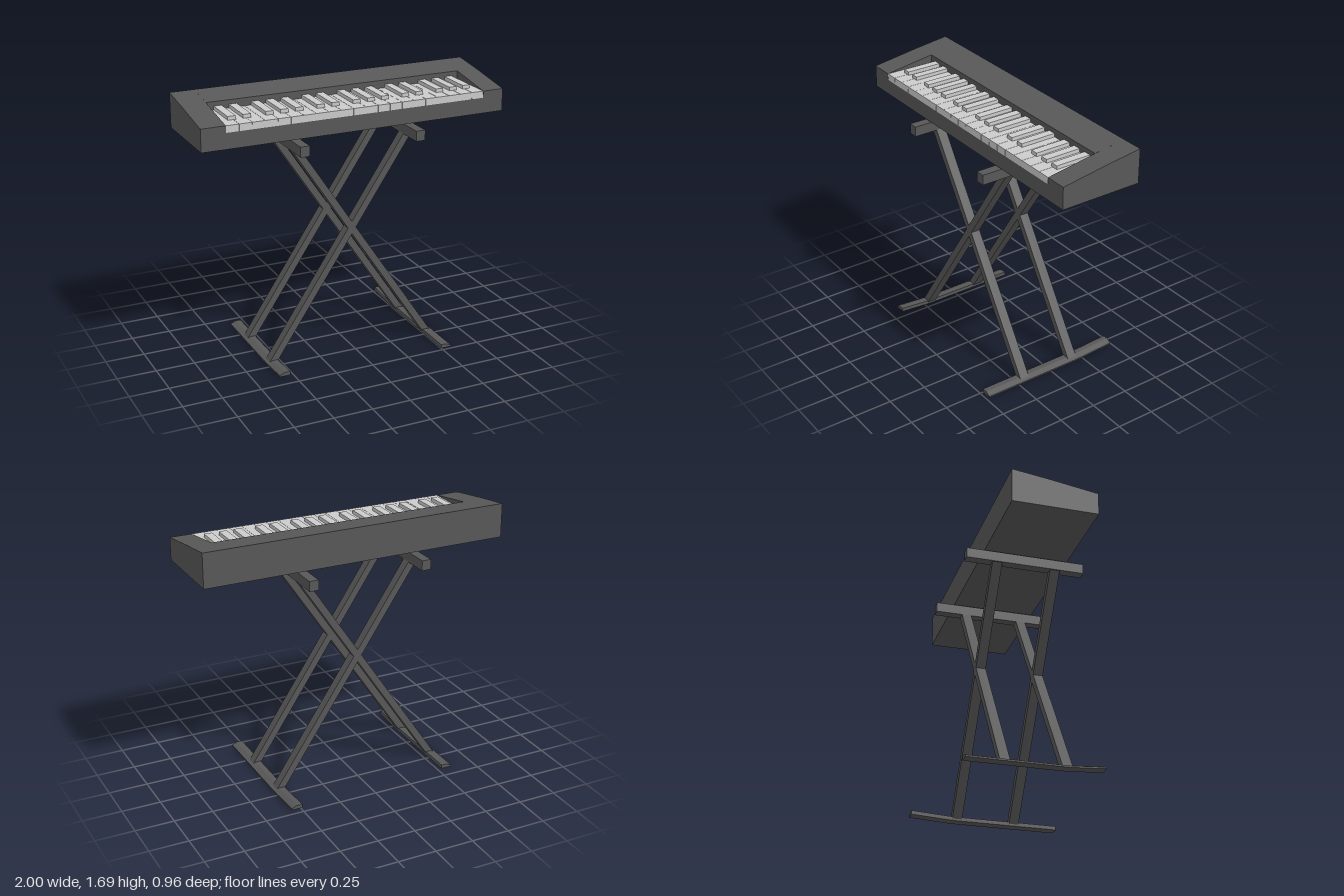
import * as THREE from 'three';

const dark = new THREE.MeshStandardMaterial({ color: 0x585858, flatShading: true });
const pale = new THREE.MeshStandardMaterial({ color: 0xcccccc, flatShading: true });

function add(parent, name, geometry, material) {
  const mesh = new THREE.Mesh(geometry, material);
  mesh.name = name;
  parent.add(mesh);
  return mesh;
}

// Box given by its lower and upper limits on each axis
function box(x0, x1, y0, y1, z0, z1) {
  return new THREE.BoxGeometry(x1 - x0, y1 - y0, z1 - z0)
    .translate((x0 + x1) / 2, (y0 + y1) / 2, (z0 + z1) / 2);
}

// Outline in x and y, extruded from z0 to z1
function prism(points, z0, z1, steps = 1) {
  const shape = new THREE.Shape(points.map(([x, y]) => new THREE.Vector2(x, y)));
  return new THREE.ExtrudeGeometry(shape, { depth: z1 - z0, steps, bevelEnabled: false })
    .translate(0, 0, z0);
}

// Outline in z and y, extruded from x0 to x1
function sideProfile(points, x0, x1) {
  return prism(points.map(([z, y]) => [-z, y]), x0, x1).rotateY(Math.PI / 2);
}

// Foot bar with a sloped outer edge and one bent-up end (end = +1 front, -1 back)
function foot(xIn, xOut, z0, z1, end) {
  const mid = (xIn + xOut) / 2;
  const section = [[xIn, 0], [xIn, 0.025], [mid, 0.025], [xOut, 0.01], [xOut, 0]];
  const geometry = prism(section, z0, z1, 16);
  const p = geometry.attributes.position;
  const tip = end > 0 ? z1 : -z0;
  for (let i = 0; i < p.count; i++) {
    const t = Math.max(0, (p.getZ(i) * end - 0.21) / (tip - 0.21));
    p.setY(i, p.getY(i) + 0.016 * t);
  }
  geometry.computeVertexNormals();
  return geometry;
}

export function createModel() {
  const model = new THREE.Group();
  model.name = 'keyboardOnStand';

  // Case: two end cheeks and a stepped middle that holds the keys
  const body = new THREE.Group();
  body.name = 'case';
  model.add(body);
  const keyL = -0.845, keyR = 0.86, bed = 1.57;
  const back = [[-0.03, 1.66], [-0.26, 1.69], [-0.26, 1.47]];
  const cheek = [[0.28, 1.47], [0.28, 1.613], ...back];
  add(body, 'rightCheek', sideProfile(cheek, -1, keyL), dark);
  add(body, 'leftCheek', sideProfile(cheek, keyR, 1), dark);
  add(body, 'keyBedAndPanel', sideProfile(
    [[0.28, 1.47], [0.28, bed], [-0.05, bed], [-0.05, 1.663], [-0.26, 1.69], [-0.26, 1.47]],
    keyL, keyR), dark);

  // Three octaves of keys
  const keys = new THREE.Group();
  keys.name = 'keys';
  model.add(keys);
  const pitch = (keyR - keyL) / 21;
  for (let i = 0; i < 21; i++) {
    const x = keyL + i * pitch;
    add(keys, 'naturalKey', box(x + 0.0008, x + pitch - 0.0008, bed, 1.613, -0.05, 0.28), pale);
  }
  const sharps = [0.072, 0.168, 0.31, 0.405, 0.5];
  for (let octave = 0; octave < 3; octave++) {
    for (const s of sharps) {
      const x = keyL + octave * pitch * 7 + s;
      add(keys, 'sharpKey', box(x - 0.025, x + 0.025, 1.605, 1.636, -0.048, 0.185), pale);
    }
  }

  // Stand: top rails, feet and two crossed pairs of legs
  const stand = new THREE.Group();
  stand.name = 'stand';
  model.add(stand);
  add(stand, 'rightTopRail', box(-0.425, -0.365, 1.39, 1.455, -0.38, 0.38), dark);
  add(stand, 'leftTopRail', box(0.332, 0.392, 1.39, 1.455, -0.385, 0.395), dark);
  // The right foot is wound back to front, so mirror the left-hand form
  const rightFoot = foot(0.53, 0.6, -0.415, 0.43, 1);
  rightFoot.scale(-1, 1, 1);
  const index = rightFoot.attributes.position;
  for (let i = 0; i < index.count; i += 3) {
    const a = new THREE.Vector3().fromBufferAttribute(index, i + 1);
    const b = new THREE.Vector3().fromBufferAttribute(index, i + 2);
    index.setXYZ(i + 1, b.x, b.y, b.z);
    index.setXYZ(i + 2, a.x, a.y, a.z);
  }
  rightFoot.computeVertexNormals();
  add(stand, 'rightFoot', rightFoot, dark);
  add(stand, 'leftFoot', foot(0.5, 0.57, -0.48, 0.478, -1), dark);

  const w = 0.027;
  for (const [z0, z1] of [[0.163, 0.226], [-0.212, -0.149]]) {
    for (const [low, high] of [[-0.562, 0.361], [0.53, -0.393]]) {
      add(stand, 'crossLeg', prism(
        [[low - w, 0.008], [low + w, 0.008], [high + w, 1.395], [high - w, 1.395]], z0, z1), dark);
    }
  }
  return model;
}
